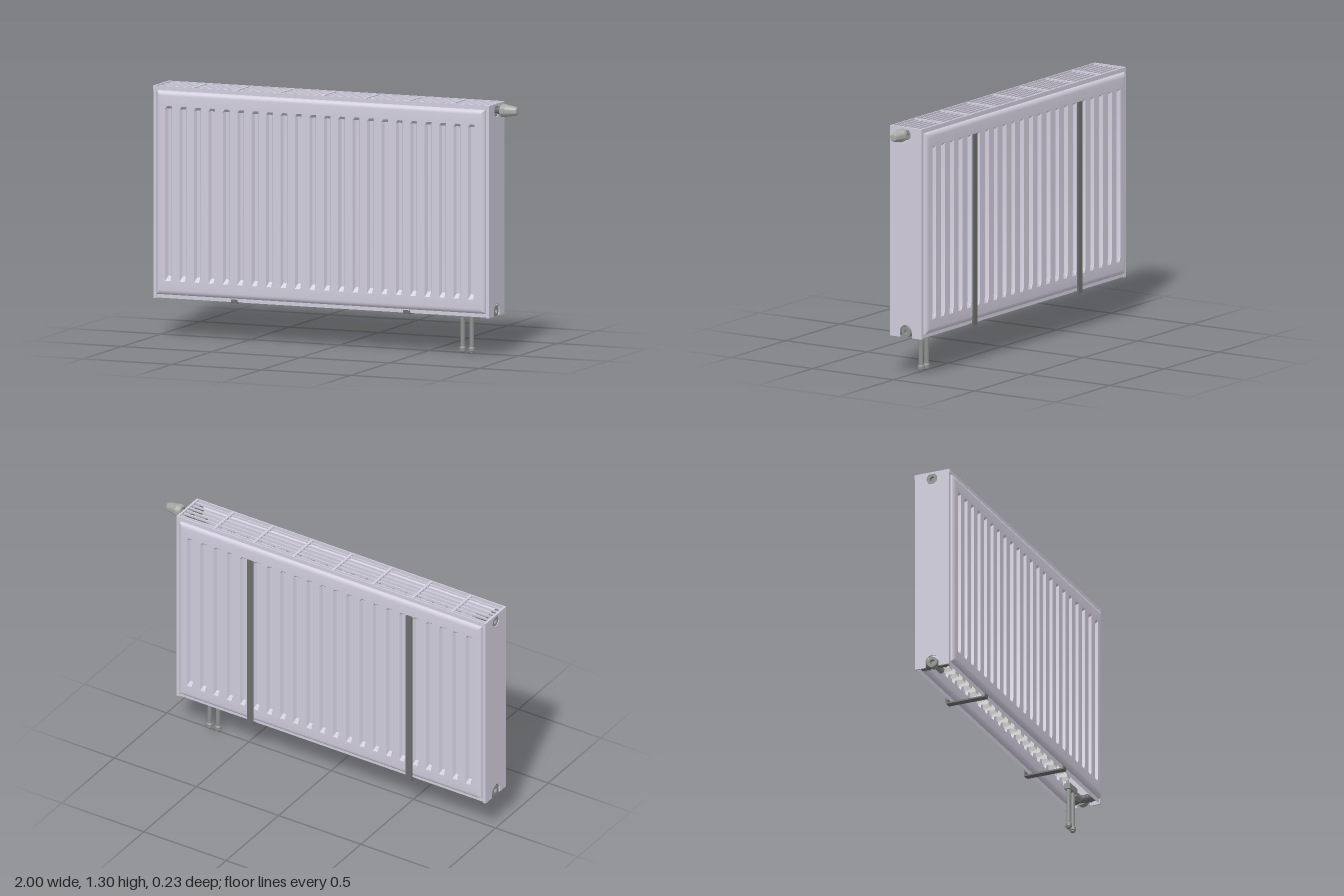
import * as THREE from 'three';
import { toCreasedNormals } from 'three/addons/utils/BufferGeometryUtils.js';

const mat = (color) => new THREE.MeshStandardMaterial({ color, roughness: 0.6, side: THREE.DoubleSide });
const enamel = mat(0xd0ccdc), steel = mat(0x6a6e6c), metal = mat(0x8d918e), knob = mat(0xa8aaa6), plain = mat(0xcccccc);

const HALF = 0.94, PITCH = 0.0807, GROOVES = 22, BOTTOM = 0.2, TOP = 1.3;

function add(parent, name, geometry, material, x = 0, y = 0, z = 0) {
  const mesh = new THREE.Mesh(geometry, material);
  mesh.name = name;
  mesh.position.set(x, y, z);
  parent.add(mesh);
  return mesh;
}
const box = (parent, name, material, w, h, d, x, y, z) =>
  add(parent, name, new THREE.BoxGeometry(w, h, d), material, x, y, z);

// Turned part along +x from [distance, radius] pairs
function turned(parent, name, material, pairs, x, y, z, dir = 1) {
  const geo = new THREE.LatheGeometry(pairs.map(([d, r]) => new THREE.Vector2(r, d)), 24);
  const mesh = add(parent, name, toCreasedNormals(geo, 0.6), material, x, y, z);
  mesh.rotation.z = -dir * Math.PI / 2;
  return mesh;
}

// One pressed sheet: flange, rounded rim and recessed vertical grooves
function sheetGeometry() {
  const bulge = 0.023, flange = 0.003, w = HALF - 0.012, x0 = w - 0.008;
  const y0 = 0.222, y1 = 1.278, rim = 0.026;
  const xs = [-w, w], ys = [BOTTOM + 0.003, 1.282, 0.295, 0.32, 1.185, 1.2];
  for (let k = 0; k <= 5; k++) {
    const t = rim * (1 - Math.cos(k / 5 * Math.PI / 2));
    xs.push(-x0 + t, x0 - t);
    ys.push(y0 + t, y1 - t);
  }
  for (let i = 0; i < GROOVES; i++) {
    const c = (i - (GROOVES - 1) / 2) * PITCH;
    xs.push(c - 0.019, c - 0.009, c + 0.009, c + 0.019);
  }
  xs.sort((a, b) => a - b);
  ys.sort((a, b) => a - b);
  const clamp = (v) => Math.min(1, Math.max(0, v));
  const height = (x, y) => {
    const e = clamp(Math.min(x0 - Math.abs(x), y - y0, y1 - y) / rim);
    const round = Math.sqrt(1 - (1 - e) ** 2);
    const n = Math.round(x / PITCH + (GROOVES - 1) / 2);
    const dx = Math.abs(x - (n - (GROOVES - 1) / 2) * PITCH);
    const inside = n >= 0 && n < GROOVES ? clamp((0.019 - dx) / 0.01) : 0;
    const groove = Math.min(inside, clamp((y - 0.295) / 0.025), clamp((1.2 - y) / 0.015));
    return flange + (bulge - flange) * round - 0.017 * groove;
  };
  const pos = [], idx = [];
  ys.forEach((y, j) => xs.forEach((x, i) => {
    pos.push(x, y, height(x, y));
    if (i && j) {
      const d = j * xs.length + i, c = d - 1, b = d - xs.length, a = b - 1;
      idx.push(a, b, d, a, d, c);
    }
  }));
  const geo = new THREE.BufferGeometry();
  geo.setAttribute('position', new THREE.Float32BufferAttribute(pos, 3));
  geo.setIndex(idx);
  geo.computeVertexNormals();
  return toCreasedNormals(geo, 0.4);
}

// Square-wave convector sheet standing behind a panel
function convectorGeometry() {
  const pts = [], back = 0.066, front = 0.014, n = 20;
  for (let i = 0; i < n; i++) {
    const x = (i - n / 2) * PITCH;
    pts.push([x, back], [x + 0.012, front], [x + 0.05, front], [x + 0.062, back]);
  }
  const pos = [], idx = [];
  pts.forEach(([x, z], i) => {
    pos.push(x, 0.3, z, x, 1.2, z);
    if (i) idx.push(2 * i - 2, 2 * i, 2 * i + 1, 2 * i - 2, 2 * i + 1, 2 * i - 1);
  });
  const geo = new THREE.BufferGeometry();
  geo.setAttribute('position', new THREE.Float32BufferAttribute(pos, 3));
  geo.setIndex(idx);
  return toCreasedNormals(geo, 0.3);
}

// End cover with a round hole at the top and an arched notch at the bottom
function coverGeometry() {
  const s = new THREE.Shape();
  s.moveTo(-0.096, BOTTOM);
  s.lineTo(-0.037, BOTTOM);
  s.lineTo(-0.037, 0.228);
  s.absarc(0, 0.228, 0.037, Math.PI, 0, true);
  s.lineTo(0.037, BOTTOM);
  s.lineTo(0.096, BOTTOM);
  s.lineTo(0.096, TOP - 0.005);
  s.lineTo(-0.096, TOP - 0.005);
  s.closePath();
  const hole = new THREE.Path();
  hole.absarc(0, 1.262, 0.03, 0, Math.PI * 2, true);
  s.holes.push(hole);
  const geo = new THREE.ExtrudeGeometry(s, { depth: 0.008, bevelEnabled: false, curveSegments: 16 });
  return geo.rotateY(Math.PI / 2).translate(-0.004, 0, 0);
}

export function createModel() {
  const model = new THREE.Group();
  model.name = 'panelRadiator';
  const body = new THREE.Group();
  body.name = 'radiatorBody';
  body.position.set(-0.059, 0, 0.004);
  model.add(body);

  // Front and rear water panels with their convectors
  const sheet = sheetGeometry(), convector = convectorGeometry();
  for (const name of ['frontPanel', 'rearPanel']) {
    const panel = new THREE.Group();
    panel.name = name;
    if (name === 'rearPanel') panel.rotation.y = Math.PI;
    add(panel, 'outerSheet', sheet, enamel, 0, 0, 0.09);
    add(panel, 'innerSheet', sheet, enamel, 0, 0, 0.09).rotation.y = Math.PI;
    add(panel, 'convector', convector, plain);
    body.add(panel);
  }

  // End covers with folded edges, headers and ports
  const cover = coverGeometry();
  for (const side of [-1, 1]) {
    add(body, 'endCover', cover, enamel, side * (HALF - 0.004));
    for (const z of [-0.095, 0.095])
      box(body, 'coverFold', enamel, 0.018, TOP - BOTTOM - 0.005, 0.003, side * (HALF - 0.009), (TOP + BOTTOM - 0.005) / 2, z);
    for (const y of [0.228, 1.262]) {
      const header = add(body, 'header', new THREE.CylinderGeometry(0.02, 0.02, 0.15, 20), steel, side * 0.9, y, 0);
      header.rotation.x = Math.PI / 2;
      for (const z of [-0.055, -0.035, 0.035, 0.055])
        add(body, 'headerRing', new THREE.TorusGeometry(0.019, 0.006, 8, 20), steel, side * 0.9, y, z);
      turned(body, 'port', metal,
        [[0, 0], [0, 0.017], [0.08, 0.017], [0.08, 0.028], [0.115, 0.028], [0.115, 0.014], [0.1, 0.012], [0.1, 0]],
        side * 0.822, y, 0, side);
    }
  }

  // Top grille: frame, long slats and cross bars
  for (const s of [-1, 1]) {
    box(body, 'grilleSideRail', enamel, 2 * HALF, 0.022, 0.006, 0, TOP - 0.011, s * 0.095);
    box(body, 'grilleEndRail', enamel, 0.012, 0.012, 0.19, s * (HALF - 0.006), TOP - 0.006, 0);
    for (const z of [0.014, 0.043, 0.072])
      box(body, 'grilleSlat', enamel, 2 * HALF - 0.02, 0.01, 0.006, 0, TOP - 0.01, s * z);
  }
  for (let i = -3; i <= 3; i++)
    box(body, 'grilleCrossBar', enamel, 0.014, 0.012, 0.19, i * 0.241 - 0.006, TOP - 0.008, 0);

  // Wall straps with feet hooked under the body
  for (const x of [-0.545, 0.42]) {
    const strap = new THREE.Group();
    strap.name = 'wallStrap';
    strap.position.x = x;
    box(strap, 'strapUpright', steel, 0.036, 1.0, 0.009, 0, 0.7, -0.1125);
    box(strap, 'strapFoot', steel, 0.036, 0.008, 0.22, 0, 0.201, -0.005);
    box(strap, 'strapLip', steel, 0.036, 0.018, 0.005, 0, 0.208, 0.103);
    model.add(strap);
  }

  // Thermostatic valve head
  turned(model, 'valveStem', steel,
    [[0, 0], [0, 0.014], [0.02, 0.014], [0.02, 0.022], [0.032, 0.022], [0.032, 0]], 0.875, 1.266, 0.004);
  turned(model, 'valveHead', knob,
    [[0, 0], [0, 0.026], [0.006, 0.033], [0.03, 0.034], [0.034, 0.031], [0.08, 0.024], [0.091, 0.019], [0.095, 0.01], [0.095, 0]],
    0.905, 1.266, 0.004);

  // Supply and return pipes with end fittings
  box(model, 'pipeBlock', metal, 0.09, 0.03, 0.035, 0.715, 0.235, 0.004);
  turned(model, 'pipeBlockLink', metal, [[0, 0.013], [0.1, 0.013]], 0.74, 0.232, 0.004);
  const pipe = toCreasedNormals(new THREE.LatheGeometry(
    [[0, 0], [0.009, 0], [0.012, 0.004], [0.012, 0.008], [0.017, 0.011], [0.017, 0.027], [0.012, 0.033], [0.012, 0.235]]
      .map(([r, y]) => new THREE.Vector2(r, y)), 20), 0.6);
  for (const x of [0.69, 0.741]) add(model, 'pipe', pipe, metal, x, 0, 0.004);

  return model;
}
